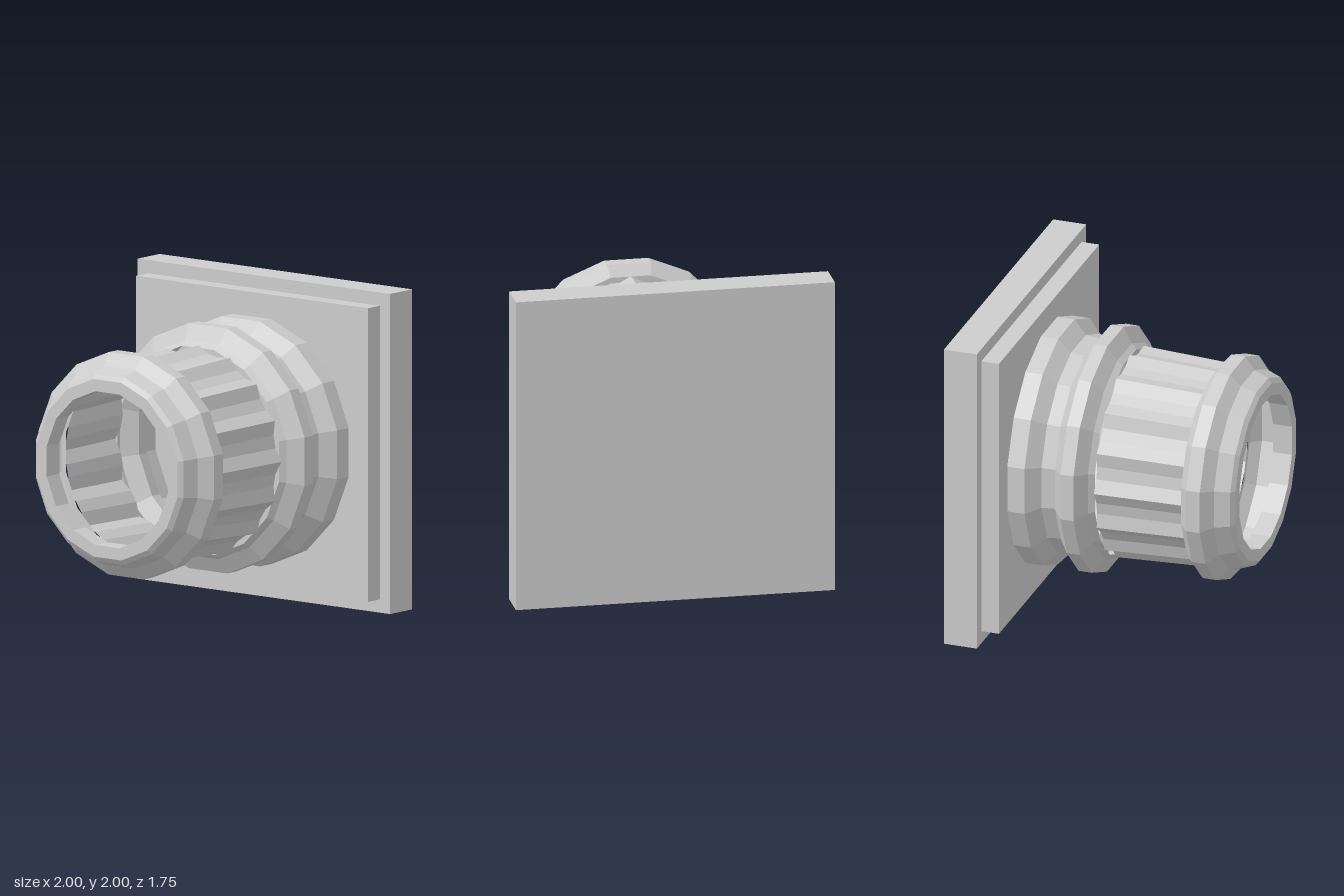
import * as THREE from 'three';

const SIDES = 16;
const HALF = Math.PI / SIDES;

export function createModel() {
  const model = new THREE.Group();
  const stone = new THREE.MeshStandardMaterial({ color: 0xcccccc, flatShading: true, side: THREE.DoubleSide });
  stone.name = 'stone grey';

  function add(name, geometry, y = 1, z = 0) {
    const mesh = new THREE.Mesh(geometry, stone);
    mesh.name = name;
    mesh.position.set(0, y, z);
    model.add(mesh);
  }

  // Sixteen-sided moulding along z; profile is [distance to flat, z]
  function moulding(name, profile) {
    const points = profile.map(([r, z]) => new THREE.Vector2(r / Math.cos(HALF), z));
    const geometry = new THREE.LatheGeometry(points, SIDES, HALF);
    geometry.rotateX(Math.PI / 2);
    add(name, geometry);
  }

  // Square wall plates
  add('backPlate', new THREE.BoxGeometry(2, 2, 0.215), 1, -0.765);
  add('frontPlate', new THREE.BoxGeometry(1.835, 1.835, 0.115), 1, -0.6);

  // Double ring at the foot of the shaft
  moulding('baseMoulding', [
    [0.765, -0.545], [0.765, -0.43], [0.68, -0.35], [0.67, -0.265],
    [0.765, -0.195], [0.765, -0.11], [0.67, -0.05], [0.64, -0.015],
  ]);

  // Fluted shaft: every third edge is a ridge, the others lie in the groove
  const shaft = new THREE.CylinderGeometry(0.633, 0.657, 0.56, SIDES * 3, 1, true);
  const pos = shaft.attributes.position;
  for (let i = 0; i < pos.count; i++) {
    const column = i % (SIDES * 3 + 1);
    if (column % 3 !== 0) {
      pos.setX(i, pos.getX(i) * 0.94);
      pos.setZ(i, pos.getZ(i) * 0.94);
    }
  }
  shaft.rotateX(Math.PI / 2);
  add('flutedShaft', shaft, 1, 0.265);

  // Hollow collar with a flat rim and a short inner lip
  moulding('collar', [
    [0.595, 0.545], [0.63, 0.545], [0.695, 0.6], [0.695, 0.69], [0.62, 0.755],
    [0.585, 0.85], [0.555, 0.873], [0.48, 0.873], [0.48, 0.75],
  ]);

  return model;
}
